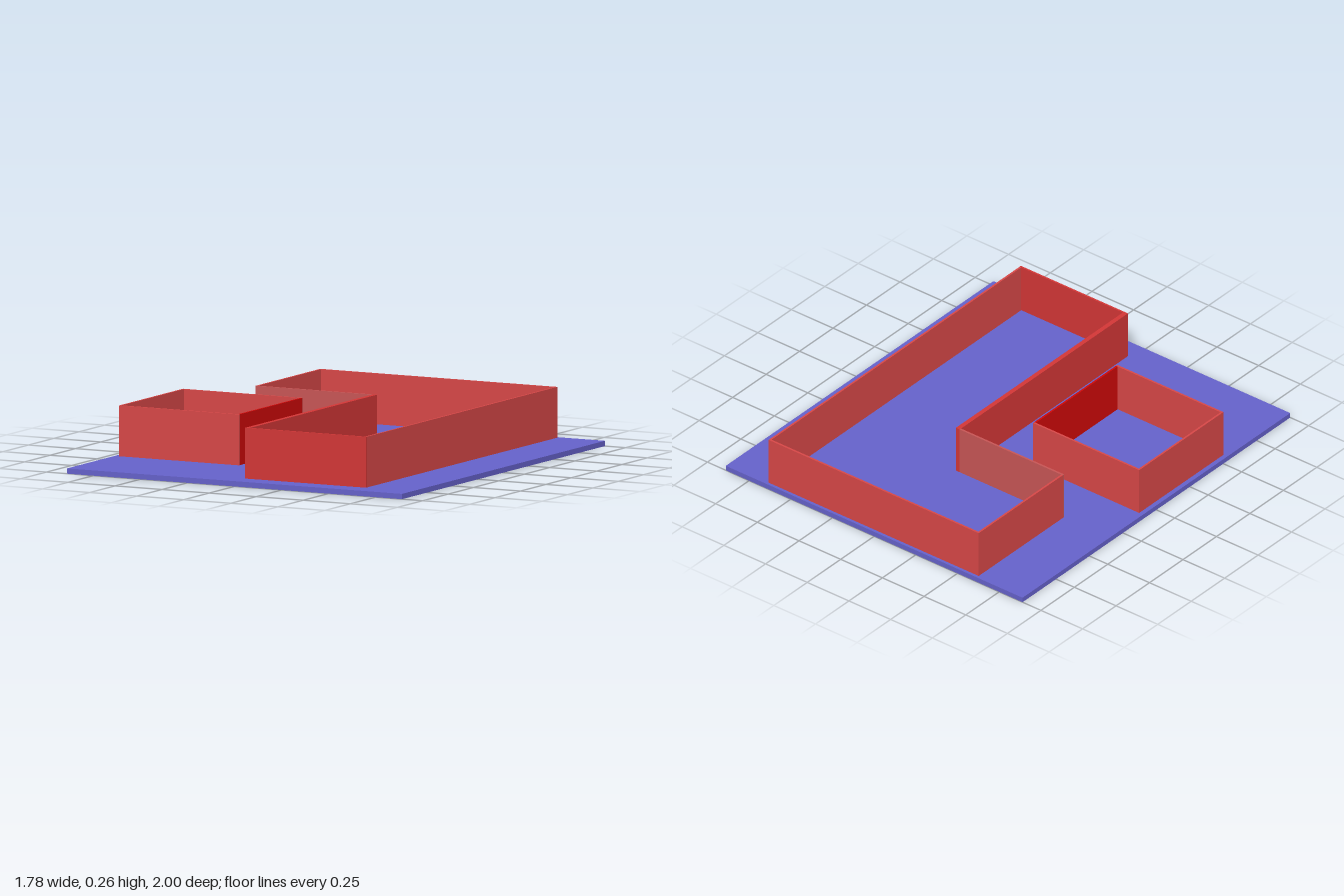
import * as THREE from 'three';

const BASE_TOP = 0.025;
const WALL_TOP = 0.265;

// Box given by its extents
function block(name, color, [x0, x1], [y0, y1], [z0, z1]) {
  const mesh = new THREE.Mesh(
    new THREE.BoxGeometry(x1 - x0, y1 - y0, z1 - z0),
    new THREE.MeshStandardMaterial({ color })
  );
  mesh.name = name;
  mesh.position.set((x0 + x1) / 2, (y0 + y1) / 2, (z0 + z1) / 2);
  return mesh;
}

const wall = (name, color, xs, zs) => block(name, color, xs, [BASE_TOP, WALL_TOP], zs);

function room(name, walls) {
  const group = new THREE.Group();
  group.name = name;
  for (const w of walls) group.add(wall(...w));
  return group;
}

export function createModel() {
  const model = new THREE.Group();
  const t = 0.01; // thin wall thickness
  const red = 0xd94848, bright = 0xd43737, pale = 0xc95656, deep = 0xd00808;

  // Ground slab
  model.add(block('base', 0x6662cc, [-0.89, 0.89], [0, BASE_TOP], [-1, 1]));

  // Large L-shaped room, with a thicker wall along the inside of the L
  model.add(room('lShapedRoom', [
    ['backWall', red, [-0.615, 0.645], [-0.985, -0.985 + t]],
    ['outerLeftWall', red, [0.645 - t, 0.645], [-0.985 + t, 0.9 - t]],
    ['frontWall', bright, [0.026, 0.645], [0.9 - t, 0.9]],
    ['innerWall', bright, [0.003, 0.026], [-0.357, 0.9]],
    ['stepWall', pale, [-0.615, 0.003], [-0.357, -0.357 + t]],
    ['outerRightWall', red, [-0.615, -0.615 + t], [-0.985 + t, -0.357]]
  ]));

  // Small square room
  model.add(room('squareRoom', [
    ['backWall', red, [-0.867, -0.23], [-0.1, -0.1 + t]],
    ['frontWall', red, [-0.867, -0.23], [0.53 - t, 0.53]],
    ['rightWall', red, [-0.867, -0.867 + t], [-0.1 + t, 0.53 - t]],
    ['leftWall', deep, [-0.23 - t, -0.23], [-0.1 + t, 0.53 - t]]
  ]));

  return model;
}
